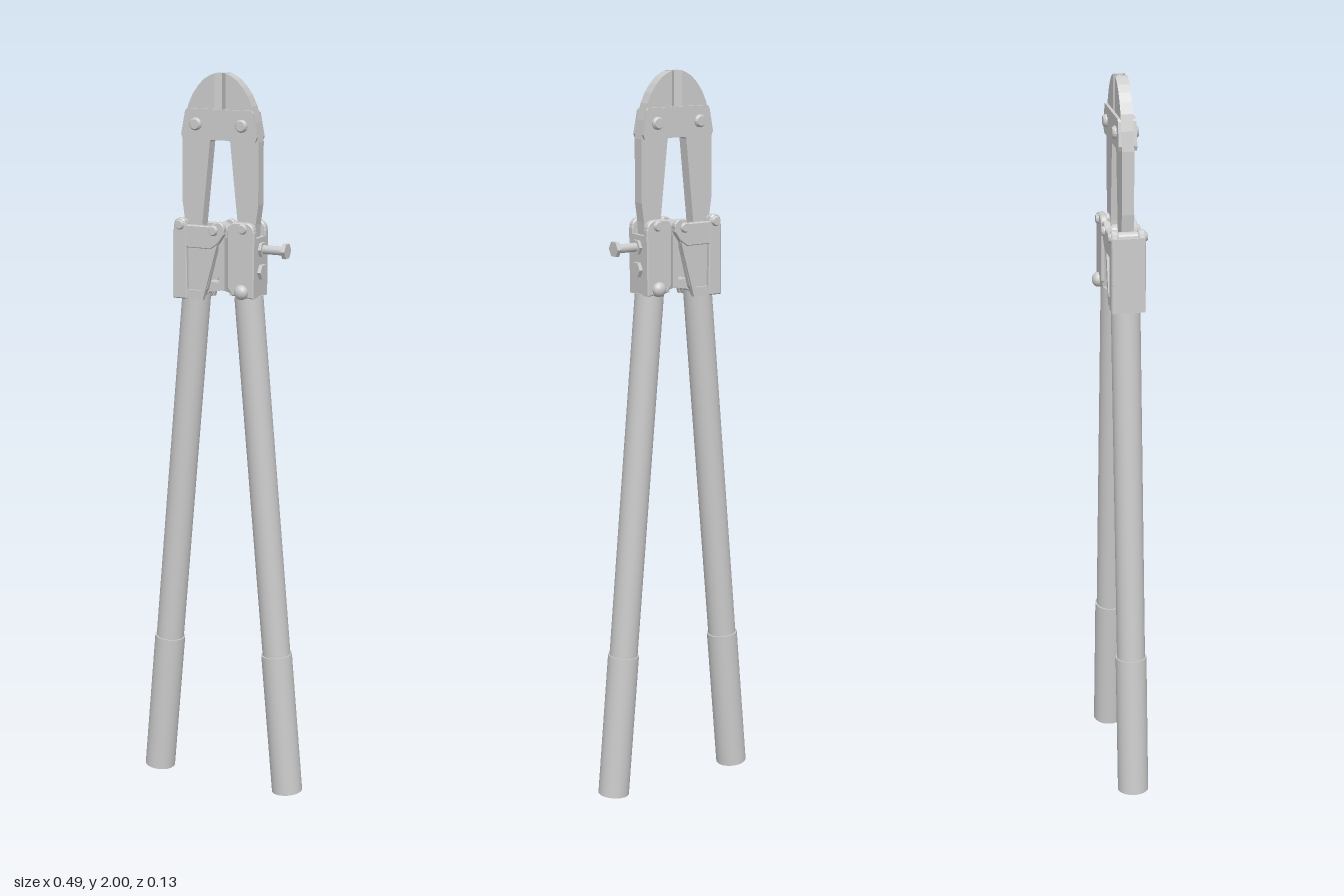
import * as THREE from 'three';

const grey = new THREE.MeshStandardMaterial({ color: 0xcccccc });
const flat = new THREE.MeshStandardMaterial({ color: 0xcccccc, flatShading: true });

function add(parent, name, geometry, material = flat) {
  const mesh = new THREE.Mesh(geometry, material);
  mesh.name = name;
  parent.add(mesh);
  return mesh;
}

// Flat plate from an outline in x/y; s mirrors it across x, z0..z1 is its depth.
function plate(parent, name, points, z0, z1, s = 1, bevel = 0) {
  const shape = new THREE.Shape(points.map(([x, y]) => new THREE.Vector2(x * s, y)));
  const geometry = new THREE.ExtrudeGeometry(shape, {
    depth: z1 - z0 - 2 * bevel, bevelEnabled: bevel > 0, bevelSize: bevel,
    bevelOffset: -bevel, bevelThickness: bevel, bevelSegments: 1,
  });
  geometry.translate(0, 0, z0 + bevel);
  return add(parent, name, geometry);
}

// Rod between two points.
function rod(parent, name, a, b, r0, r1 = r0, sides = 16, material = grey) {
  const from = new THREE.Vector3(...a), to = new THREE.Vector3(...b);
  const dir = to.clone().sub(from);
  const mesh = add(parent, name, new THREE.CylinderGeometry(r1, r0, dir.length(), sides), material);
  mesh.position.copy(from).addScaledVector(dir, 0.5);
  mesh.quaternion.setFromUnitVectors(new THREE.Vector3(0, 1, 0), dir.normalize());
  return mesh;
}

// Pin running through in z, with a chamfered head at each end.
function pin(parent, name, x, y, z, r) {
  const profile = [[0, -z], [r * 0.75, -z], [r, -z + 0.006], [r, z - 0.006], [r * 0.75, z], [0, z]];
  const geometry = new THREE.LatheGeometry(profile.map(p => new THREE.Vector2(...p)), 16);
  geometry.rotateX(Math.PI / 2);
  add(parent, name, geometry).position.set(x, y, 0);
}

// Outline points around a rounded corner.
function corner(cx, cy, r, from, to, n = 5) {
  return Array.from({ length: n + 1 }, (_, i) => {
    const a = THREE.MathUtils.degToRad(from + (to - from) * i / n);
    return [cx + r * Math.cos(a), cy + r * Math.sin(a)];
  });
}

export function createModel() {
  const model = new THREE.Group();
  model.name = 'boltCutter';

  for (const s of [-1, 1]) {
    const side = s < 0 ? 'right' : 'left';

    // Long tube handle with a thicker sleeve grip
    const at = t => [s * (0.204 - 0.126 * t), 0.004 + 1.411 * t, 0];
    rod(model, side + 'Handle', at(0.01), at(1), 0.039, 0.039, 32);
    rod(model, side + 'Grip', at(0), at(0.287), 0.043, 0.043, 32);

    // Jaw blade with its tang
    plate(model, side + 'Jaw', [
      [0.016, 1.998], [0.03, 1.993], [0.047, 1.983], [0.064, 1.966], [0.08, 1.944],
      [0.093, 1.917], [0.104, 1.875], [0.112, 1.825], [0.112, 1.66], [0.105, 1.61],
      [0.1, 1.53], [0.055, 1.53], [0.053, 1.6], [0.03, 1.82], [0.016, 1.85],
    ], -0.016, 0.016, s);

    // Bevelled cutting edge, thinning towards the middle
    const edge = new THREE.ExtrudeGeometry(new THREE.Shape([
      [0.016, -0.016], [0.016, 0.016], [0, 0.003], [0, -0.003],
    ].map(([x, z]) => new THREE.Vector2(x * s, z))), { depth: 0.148, bevelEnabled: false });
    edge.rotateX(-Math.PI / 2);
    add(model, side + 'CuttingEdge', edge).position.y = 1.851;

    // Bolt through the joint strap
    pin(model, side + 'JawBolt', s * 0.067, 1.866, 0.034, 0.017);
  }

  // Strap plates joining the jaws
  const strap = [
    [-0.106, 1.826], [0.106, 1.826], [0.111, 1.838],
    [0.099, 1.9], [0.093, 1.906], [-0.093, 1.906], [-0.099, 1.9], [-0.111, 1.838],
  ];
  plate(model, 'frontStrap', strap, 0.016, 0.024);
  plate(model, 'backStrap', strap, -0.024, -0.016);

  // Fork bracket on the -x handle: upright cheeks, upper arms and raised web
  const cheek = [
    [-0.127, 1.4], [-0.085, 1.4], [-0.088, 1.6],
    ...corner(-0.106, 1.601, 0.018, 0, 180),
    [-0.126, 1.58],
  ];
  const arm = [
    [-0.1, 1.54], [-0.015, 1.54], [0.006, 1.555], [0.024, 1.58],
    ...corner(0.006, 1.594, 0.019, -20, 90), [-0.02, 1.6], [-0.1, 1.6],
  ];
  const web = [[-0.11, 1.4], [-0.045, 1.4], [-0.03, 1.43], [0.004, 1.56], [-0.11, 1.56]];
  for (const f of [-1, 1]) {
    const span = (a, b) => (f > 0 ? [a, b] : [-b, -a]);
    plate(model, 'forkCheek', cheek, ...span(0.026, 0.045), 1, 0.003);
    plate(model, 'forkArm', arm, ...span(0.026, 0.044), 1, 0.002);
    plate(model, 'forkWeb', web, ...span(0.02, 0.033));
    // Slanted rib along the web's free edge
    plate(model, 'forkRib', [[-0.052, 1.4], [-0.04, 1.4], [0.002, 1.55], [-0.014, 1.55]],
      ...span(0.028, 0.04));
  }
  plate(model, 'forkBackWall', [[-0.127, 1.4], [-0.112, 1.4], [-0.112, 1.6], [-0.126, 1.6]], -0.04, 0.04);
  plate(model, 'forkBase', [[-0.125, 1.4], [-0.045, 1.4], [-0.038, 1.425], [-0.125, 1.425]], -0.04, 0.04);
  plate(model, 'forkStop', [[-0.05, 1.405], [-0.03, 1.42], [0, 1.425], [0, 1.447], [-0.035, 1.447]], -0.018, 0.018);
  pin(model, 'forkJawPin', -0.106, 1.6, 0.052, 0.014);
  pin(model, 'centrePin', -0.006, 1.59, 0.052, 0.014);

  // Clevis bracket on the +x handle
  const clevis = [
    [0.035, 1.44], [0.05, 1.42], [0.112, 1.415], [0.114, 1.59],
    ...corner(0.09, 1.593, 0.023, 0, 90), ...corner(0.058, 1.593, 0.023, 90, 180),
  ];
  plate(model, 'frontClevisCheek', clevis, 0.026, 0.045, 1, 0.003);
  plate(model, 'backClevisCheek', clevis, -0.045, -0.026, 1, 0.003);
  plate(model, 'clevisOuterWall', [[0.1, 1.416], [0.112, 1.416], [0.114, 1.575], [0.102, 1.575]], -0.04, 0.04);
  plate(model, 'clevisBase', [[0.04, 1.42], [0.112, 1.416], [0.112, 1.44], [0.04, 1.445]], -0.04, 0.04);

  // Inner lobe of the clevis, tapering towards the centre pin
  const lobe = new THREE.ExtrudeGeometry(new THREE.Shape([
    [0.0, -0.024], [0.018, -0.024], [0.042, -0.042], [0.052, -0.042],
    [0.052, 0.042], [0.042, 0.042], [0.018, 0.024], [0.0, 0.024],
  ].map(p => new THREE.Vector2(...p))), { depth: 0.145, bevelEnabled: false });
  lobe.rotateX(-Math.PI / 2);
  add(model, 'clevisLobe', lobe).position.y = 1.427;
  plate(model, 'pivotEar', [[-0.02, 1.55], [0.03, 1.55], [0.03, 1.585], ...corner(-0.004, 1.588, 0.018, 60, 180)], -0.024, 0.024);
  pin(model, 'clevisJawPin', 0.08, 1.6, 0.052, 0.014);

  // Large domed rivet at the foot of the clevis
  rod(model, 'rivetShaft', [0.078, 1.432, -0.048], [0.078, 1.432, 0.048], 0.02);
  for (const f of [-1, 1]) {
    const dome = new THREE.SphereGeometry(0.02, 20, 8, 0, Math.PI * 2, 0, Math.PI / 2);
    dome.rotateX(f * Math.PI / 2);
    dome.scale(1, 1, 0.8);
    add(model, 'rivetDome', dome, grey).position.set(0.078, 1.432, f * 0.047);
  }

  // Adjusting screw and short lock screw on the outer wall
  rod(model, 'adjustingScrew', [0.05, 1.543, 0], [0.184, 1.543, 0], 0.012);
  rod(model, 'adjustingScrewHead', [0.18, 1.543, 0], [0.191, 1.543, 0], 0.022, 0.022, 6, flat);
  rod(model, 'adjustingNut', [0.11, 1.543, 0], [0.122, 1.543, 0], 0.021, 0.021, 6, flat);
  rod(model, 'lockScrewHead', [0.108, 1.483, 0], [0.123, 1.483, 0], 0.022, 0.022, 6, flat);
  return model;
}
